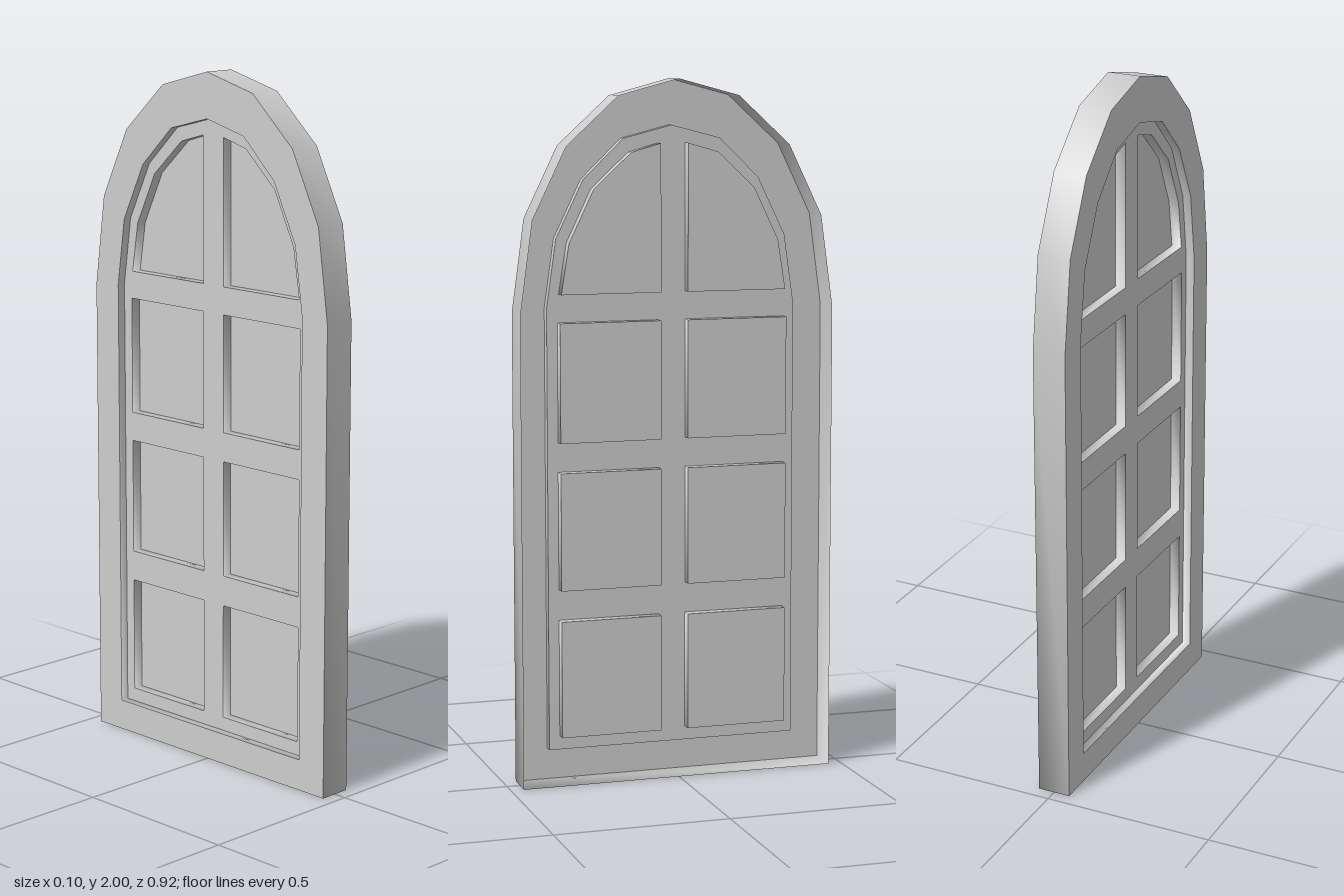
import * as THREE from 'three';

const FACE = 0.048, BACK = -0.048; // outer face plane and open rear edge
const PANEL = 0.023, PANE = -0.007; // recessed lattice and deeper panes

const stone = new THREE.MeshStandardMaterial({ color: 0xcccccc, side: THREE.DoubleSide });
stone.name = 'light grey';

// Mirrors a right-hand half outline (bottom to apex) into a closed counter-clockwise loop
function mirrorLoop(half) {
  const left = half.slice(0, -1).reverse().map(([u, y]) => [-u, y]);
  return [...half, ...left];
}

const toVectors = (loop) => loop.map(([u, y]) => new THREE.Vector2(u, y));

// Flat face at depth w, with optional holes
function face(name, loop, w, holes = []) {
  const shape = new THREE.Shape(toVectors(loop));
  for (const h of holes) shape.holes.push(new THREE.Path(toVectors(h)));
  const geo = new THREE.ShapeGeometry(shape);
  geo.translate(0, 0, w);
  const mesh = new THREE.Mesh(geo, stone);
  mesh.name = name;
  return mesh;
}

// Smooth band following a loop between two depths; the normal faces outward when w0 < w1
function band(name, loop, w0, w1) {
  const pos = [], index = [], n = loop.length;
  loop.forEach(([u, y]) => pos.push(u, y, w0, u, y, w1));
  for (let i = 0; i < n; i++) {
    const a = 2 * i, b = 2 * ((i + 1) % n);
    index.push(a, b, b + 1, a, b + 1, a + 1);
  }
  const geo = new THREE.BufferGeometry();
  geo.setAttribute('position', new THREE.Float32BufferAttribute(pos, 3));
  geo.setIndex(index);
  geo.computeVertexNormals();
  const mesh = new THREE.Mesh(geo, stone);
  mesh.name = name;
  return mesh;
}

export function createModel() {
  const model = new THREE.Group();
  model.name = 'archedWindow';
  const window = new THREE.Group();
  window.name = 'windowShell';

  const outer = mirrorLoop([[0.462, 0], [0.462, 1.35], [0.426, 1.613], [0.328, 1.815], [0.177, 1.953], [0, 2]]);
  const inner = mirrorLoop([[0.368, 0.09], [0.368, 1.36], [0.34, 1.555], [0.26, 1.72], [0.143, 1.833], [0, 1.87]]);

  // Pane outlines: three rectangular rows and an arched top row, mirrored
  const rightPanes = [[0.13, 0.468], [0.557, 0.895], [0.98, 1.32]].map(([y0, y1]) =>
    [[0.04, y0], [0.337, y0], [0.337, y1], [0.04, y1]]);
  rightPanes.push([[0.04, 1.4], [0.333, 1.4], [0.31, 1.543], [0.238, 1.693], [0.128, 1.795], [0.04, 1.82]]);
  const leftPanes = rightPanes.map((p) => p.map(([u, y]) => [-u, y]).reverse());
  const panes = [...rightPanes, ...leftPanes];

  // Frame
  window.add(band('outerWall', outer, BACK, FACE));
  window.add(face('frameFace', outer, FACE, [inner]));
  window.add(band('frameReveal', inner, FACE, PANEL));

  // Lattice and sunken panes
  window.add(face('lattice', inner, PANEL, panes));
  for (const p of panes) {
    window.add(band('paneReveal', p, PANEL, PANE));
    window.add(face('pane', p, PANE));
  }

  // Turn the decorated face towards -x
  window.rotation.y = -Math.PI / 2;
  model.add(window);
  return model;
}
